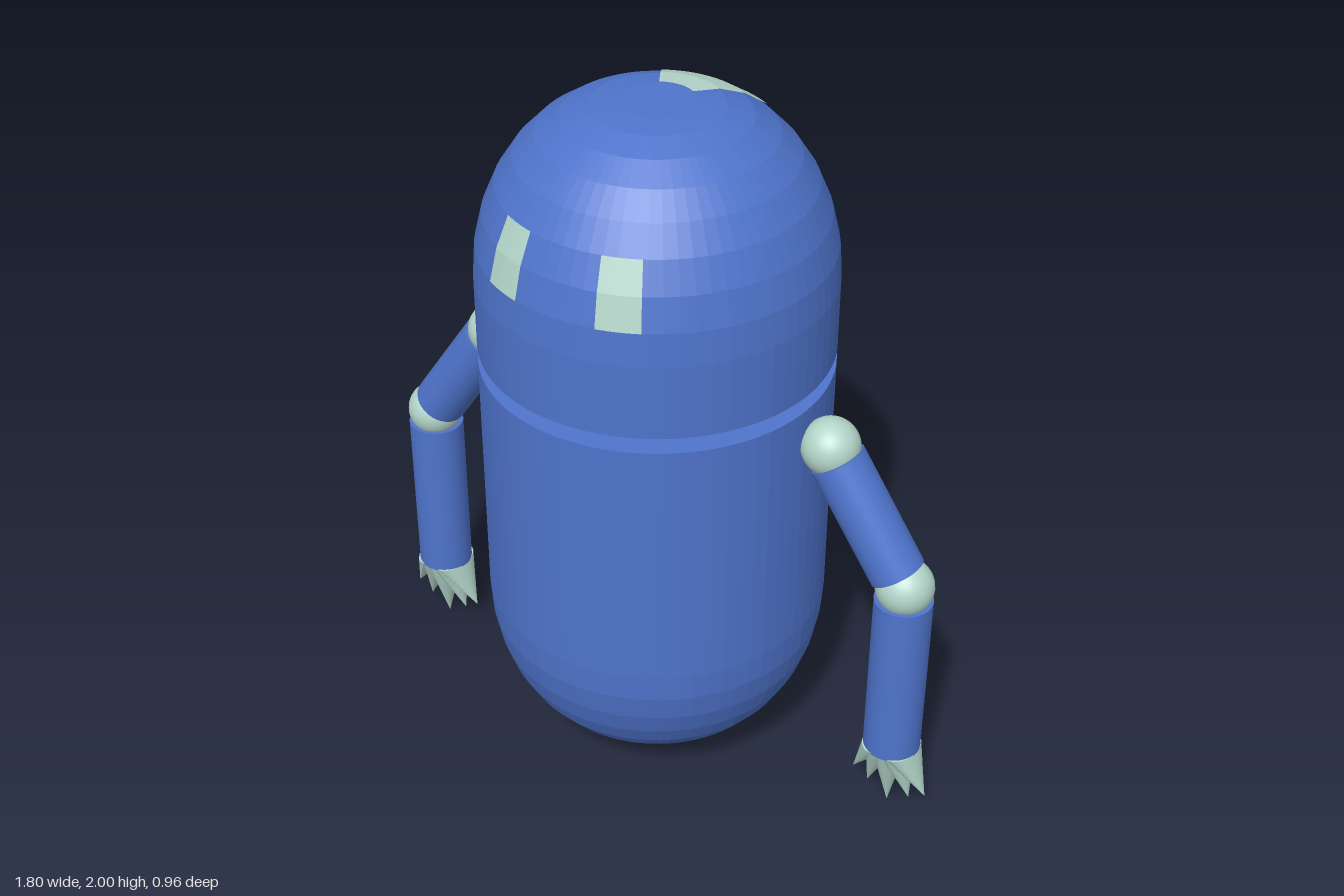
import * as THREE from 'three';

const blue = new THREE.MeshStandardMaterial({ color: 0x4f74cc });
const blueFlat = new THREE.MeshStandardMaterial({ color: 0x4f74cc, flatShading: true });
const pale = new THREE.MeshStandardMaterial({ color: 0xb4d6ca });
const paleFlat = new THREE.MeshStandardMaterial({ color: 0xb4d6ca, flatShading: true });
const R = 0.48, STEPS = 8;

function add(parent, name, geometry, material, x = 0, y = 0, z = 0) {
  const mesh = new THREE.Mesh(geometry, material);
  mesh.name = name;
  mesh.position.set(x, y, z);
  parent.add(mesh);
  return mesh;
}

// Points on the head's quarter arc, between two steps; lift raises them off the surface
function domeArc(from, to, lift = 0) {
  const points = [];
  for (let i = from; i <= to; i++) {
    const a = (i / STEPS) * Math.PI / 2;
    points.push(new THREE.Vector2(0.1 + 0.38 * Math.cos(a) + lift * Math.cos(a), 1.52 + 0.48 * Math.sin(a) + lift * Math.sin(a)));
  }
  return points;
}

// Coloured panel lying on the head, centred on an angle measured from the front
function panel(parent, name, from, to, centre, width) {
  const rad = Math.PI / 180;
  const geometry = new THREE.LatheGeometry(domeArc(from, to, 0.003), 12, (centre - width / 2) * rad, width * rad);
  add(parent, name, geometry, paleFlat);
}

// Slanted cone from an oval wrist base to a fingertip
function fingerGeometry(offset, tipY, wristY) {
  const height = wristY - tipY;
  const geometry = new THREE.ConeGeometry(0.077, height, 20, 4);
  geometry.rotateX(Math.PI);
  const p = geometry.attributes.position;
  for (let i = 0; i < p.count; i++) {
    const t = 0.5 - p.getY(i) / height;
    p.setXYZ(i, p.getX(i) * 0.62 + offset * (0.27 + 0.73 * t), wristY - t * height, p.getZ(i));
  }
  geometry.computeVertexNormals();
  return geometry;
}

function makeArm(name) {
  const arm = new THREE.Group();
  arm.name = name;
  const shoulder = new THREE.Vector3(0.54, 1.15, 0), elbow = new THREE.Vector3(0.783, 0.79, 0);
  const ball = new THREE.SphereGeometry(0.08, 32, 20);
  add(arm, 'shoulder', ball, pale, ...shoulder);
  add(arm, 'elbow', ball, pale, ...elbow);

  const dir = elbow.clone().sub(shoulder).normalize();
  const mid = shoulder.clone().addScaledVector(dir, 0.215);
  const upper = add(arm, 'upperArm', new THREE.CylinderGeometry(0.077, 0.077, 0.35, 32), blue, ...mid);
  upper.quaternion.setFromUnitVectors(new THREE.Vector3(0, -1, 0), dir);
  add(arm, 'forearm', new THREE.CylinderGeometry(0.08, 0.08, 0.517, 32), blue, elbow.x, 0.49, 0);

  const hand = new THREE.Group();
  hand.name = 'hand';
  hand.position.x = elbow.x;
  arm.add(hand);
  const tips = [[-0.113, 0.083], [-0.066, 0.052], [0, 0.01], [0.066, 0.052], [0.115, 0.083]];
  for (const [x, y] of tips) add(hand, 'finger', fingerGeometry(x, y, 0.235), pale);
  return arm;
}

export function createModel() {
  const model = new THREE.Group();

  // Body: straight sides with a rounded, flat-ended underside
  const profile = [new THREE.Vector2(0, 0.09)];
  for (let i = STEPS; i >= 0; i--) {
    const a = (i / STEPS) * Math.PI / 2;
    profile.push(new THREE.Vector2(0.2 + 0.28 * Math.cos(a), 0.52 - 0.43 * Math.sin(a)));
  }
  profile.push(new THREE.Vector2(R, 1.265), new THREE.Vector2(0, 1.265));
  add(model, 'body', new THREE.LatheGeometry(profile, 72), blueFlat);

  // Neck filling the gap under the head
  add(model, 'neck', new THREE.CylinderGeometry(0.365, 0.365, 0.06, 64), pale, 0, 1.288, 0);

  // Domed head
  const head = new THREE.Group();
  head.name = 'head';
  model.add(head);
  const dome = [new THREE.Vector2(0, 1.31), new THREE.Vector2(R, 1.31), ...domeArc(0, STEPS), new THREE.Vector2(0, 2)];
  add(head, 'dome', new THREE.LatheGeometry(dome, 72), blueFlat);
  panel(head, 'leftEye', 1, 3, 21.4, 14);
  panel(head, 'rightEye', 1, 3, -21.4, 14);
  panel(head, 'backPanel', 4, 8, 180, 61);

  // Arms, the second turned round to the other side
  const left = makeArm('leftArm');
  left.position.set(-0.003, 0.006, 0);
  const right = makeArm('rightArm');
  right.rotation.y = Math.PI;
  right.position.set(-0.003, -0.007, 0);
  model.add(left, right);
  return model;
}
